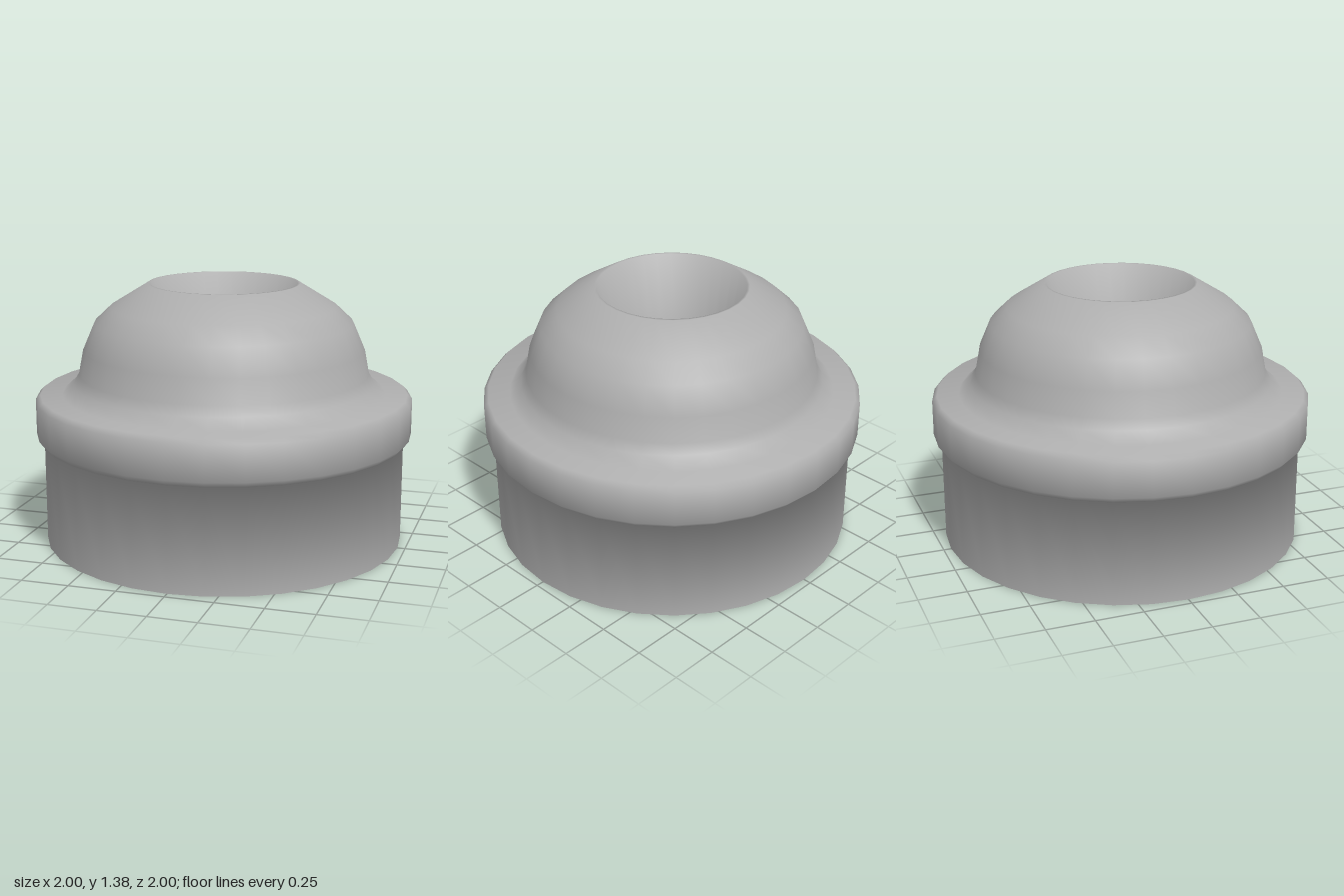
import * as THREE from 'three';

const SEGMENTS = 32;

// Revolves a [radius, height] profile; every band counts equally in the smooth normals
function revolve(name, profile) {
  const points = profile.map(([r, y]) => new THREE.Vector2(r, y));
  const geometry = new THREE.LatheGeometry(points, SEGMENTS);

  const bands = points.slice(1).map((p, j) => {
    const d = p.clone().sub(points[j]).normalize();
    return new THREE.Vector2(d.y, -d.x);
  });
  const slopes = points.map((_, j) => {
    const below = bands[Math.max(j - 1, 0)];
    const above = bands[Math.min(j, bands.length - 1)];
    return below.clone().add(above).normalize();
  });
  const normal = geometry.attributes.normal;
  for (let i = 0; i < normal.count; i++) {
    const n = slopes[i % points.length];
    const angle = (Math.floor(i / points.length) / SEGMENTS) * Math.PI * 2;
    normal.setXYZ(i, n.x * Math.sin(angle), n.y, n.x * Math.cos(angle));
  }

  const material = new THREE.MeshStandardMaterial({ color: 0xaeaeae, side: THREE.DoubleSide });
  const mesh = new THREE.Mesh(geometry, material);
  mesh.name = name;
  return mesh;
}

export function createModel() {
  const group = new THREE.Group();
  group.name = 'domedCap';

  // One continuous thin sheet: open skirt, bevelled collar, rounded dome,
  // narrow flat lip, and a tapered throat hanging inside the top opening
  const skirt = [[0.96, 0], [0.96, 0.555]];
  const collar = [[0.975, 0.555], [1, 0.585], [1, 0.77], [0.975, 0.795]];
  const dome = [
    [0.86, 0.795], [0.8, 0.85], [0.77, 0.9], [0.745, 1.03],
    [0.685, 1.17], [0.595, 1.255], [0.4, 1.375],
  ];
  const throat = [[0.387, 1.375], [0.29, 0.85]];
  group.add(revolve('shell', [...skirt, ...collar, ...dome, ...throat]));

  return group;
}
